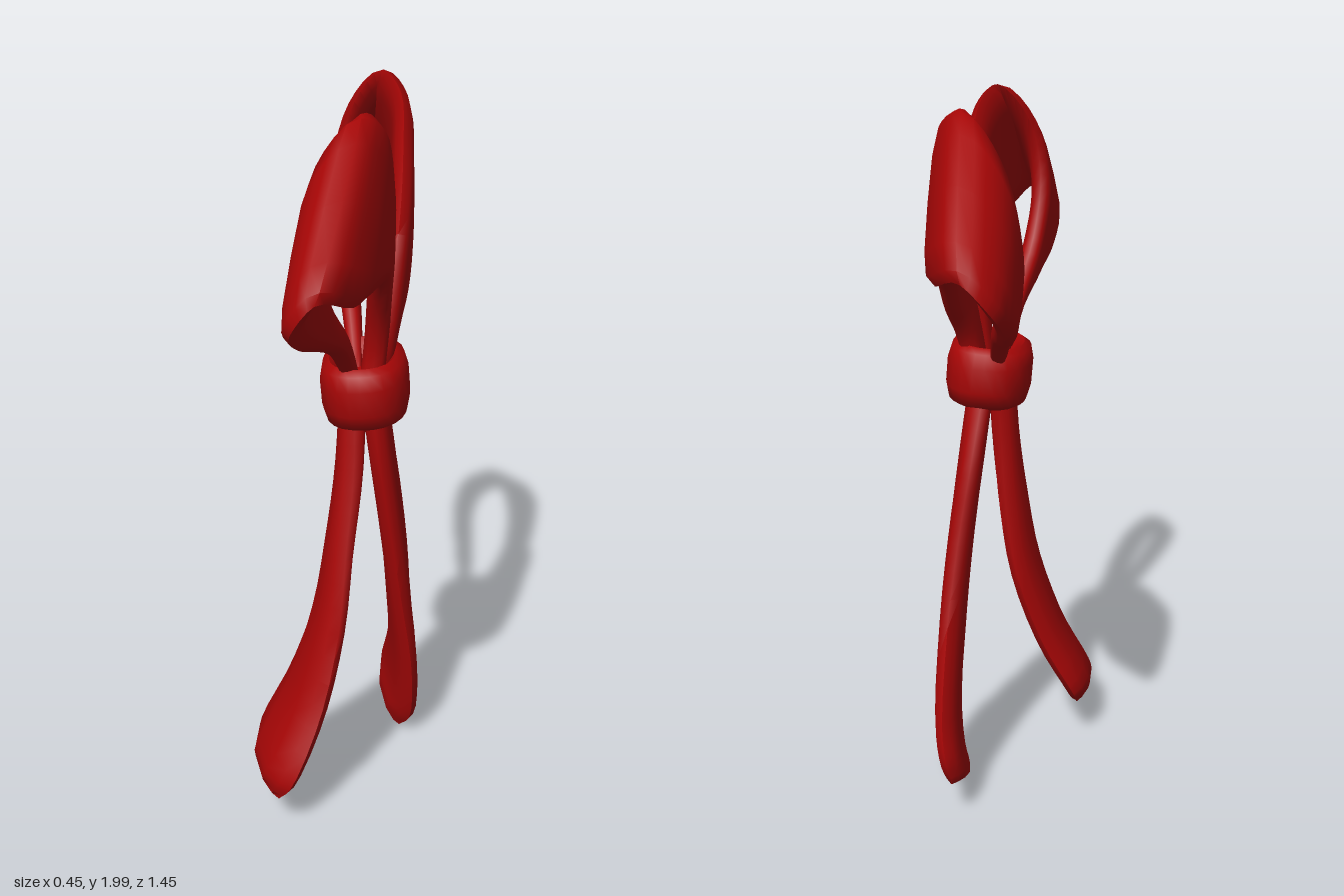
import * as THREE from 'three';
import { toCreasedNormals } from 'three/addons/utils/BufferGeometryUtils.js';

const cloth = new THREE.MeshStandardMaterial({ color: 0xa60606 });

// Ribbon lofted between two edge curves. Each station: [inner x,y,z, outer x,y,z].
// The cross-section curls from bowStart to bowEnd and thins out at the far end.
function ribbon(name, stations, halfThick, bowStart, bowEnd, steps) {
  const edge = (o) => new THREE.CatmullRomCurve3(
    stations.map((s) => new THREE.Vector3(s[o], s[o + 1], s[o + 2])), false, 'centripetal');
  const inner = edge(0), outer = edge(3);
  const middle = (t) => inner.getPoint(t).add(outer.getPoint(t)).multiplyScalar(0.5);
  const ring = 12, pos = [], index = [];
  for (let i = 0; i <= steps; i++) {
    const t = i / steps;
    const mid = middle(t);
    const half = outer.getPoint(t).sub(inner.getPoint(t)).multiplyScalar(0.5);
    const tangent = middle(Math.min(1, t + 0.01)).sub(middle(Math.max(0, t - 0.01)));
    const normal = tangent.cross(half).normalize();
    const curl = THREE.MathUtils.lerp(bowStart, bowEnd, t) * Math.min(1, half.length() / 0.16);
    const thick = halfThick * (1 - 0.5 * t ** 14);
    for (let j = 0; j < ring; j++) {
      const a = (j / ring) * Math.PI * 2;
      const u = Math.sign(Math.cos(a)) * Math.abs(Math.cos(a)) ** 0.7;
      const v = Math.sign(Math.sin(a)) * Math.abs(Math.sin(a)) ** 0.7;
      const p = mid.clone().addScaledVector(half, u)
        .addScaledVector(normal, v * thick + curl * (1 - u * u));
      pos.push(p.x, p.y, p.z);
    }
  }
  for (let i = 0; i < steps; i++) {
    for (let j = 0; j < ring; j++) {
      const k = (j + 1) % ring;
      const a = i * ring + j, b = i * ring + k, c = a + ring, d = b + ring;
      index.push(a, b, d, a, d, c);
    }
  }
  // End caps, as strips across the thickness
  const end = steps * ring;
  for (let j = 0; j < ring / 2; j++) {
    const a = j, b = j + 1, c = (ring - j) % ring, d = ring - j - 1;
    index.push(a, d, b, a, c, d);
    index.push(end + a, end + b, end + d, end + a, end + d, end + c);
  }
  const geo = new THREE.BufferGeometry();
  geo.setAttribute('position', new THREE.Float32BufferAttribute(pos, 3));
  geo.setIndex(index);
  const mesh = new THREE.Mesh(toCreasedNormals(geo, 1.1), cloth);
  mesh.name = name;
  return mesh;
}

export function createModel() {
  const group = new THREE.Group();
  group.name = 'ribbonBow';

  // Loops: up the left side, over the top, down the right side
  group.add(ribbon('backLoop', [
    [0.11, 1.2, 0.11, 0.11, 1.2, 0.0],
    [0.13, 1.33, 0.13, 0.13, 1.32, -0.02],
    [0.15, 1.5, 0.1, 0.16, 1.43, -0.1],
    [0.165, 1.67, 0.04, 0.165, 1.53, -0.2],
    [0.165, 1.83, -0.08, 0.155, 1.59, -0.37],
    [0.15, 1.95, -0.21, 0.13, 1.61, -0.57],
    [0.09, 1.99, -0.31, 0.05, 1.65, -0.72],
    [0.01, 1.89, -0.38, -0.02, 1.57, -0.7],
    [-0.035, 1.73, -0.39, -0.035, 1.49, -0.57],
    [-0.025, 1.55, -0.28, -0.015, 1.42, -0.4],
    [0.015, 1.41, -0.11, 0.02, 1.36, -0.2],
    [0.05, 1.24, 0.06, 0.05, 1.25, -0.01],
  ], 0.033, 0.003, 0.003, 44));
  group.add(ribbon('frontLoop', [
    [0.095, 1.2, 0.08, 0.095, 1.2, 0.17],
    [0.11, 1.33, 0.07, 0.11, 1.33, 0.16],
    [0.12, 1.5, 0.06, 0.12, 1.46, 0.2],
    [0.13, 1.67, 0.08, 0.13, 1.56, 0.28],
    [0.135, 1.83, 0.14, 0.115, 1.58, 0.41],
    [0.12, 1.95, 0.22, 0.085, 1.59, 0.57],
    [0.08, 1.99, 0.31, 0.01, 1.64, 0.72],
    [0.0, 1.89, 0.38, -0.05, 1.56, 0.7],
    [-0.035, 1.73, 0.4, -0.045, 1.48, 0.57],
    [-0.02, 1.55, 0.34, -0.01, 1.42, 0.41],
    [0.02, 1.4, 0.22, 0.025, 1.36, 0.28],
    [0.05, 1.24, 0.1, 0.05, 1.25, 0.18],
  ], 0.033, -0.003, -0.003, 44));

  // Hanging tails, widening toward the clipped ends
  group.add(ribbon('frontTail', [
    [0.06, 1.22, 0.1, 0.06, 1.22, 0.19],
    [0.05, 1.0, 0.1, 0.06, 1.0, 0.235],
    [0.035, 0.8, 0.09, 0.045, 0.8, 0.29],
    [0.0, 0.58, 0.08, 0.03, 0.58, 0.355],
    [-0.08, 0.35, 0.09, -0.015, 0.35, 0.42],
    [-0.17, 0.18, 0.11, -0.09, 0.16, 0.485],
    [-0.18, 0.13, 0.15, -0.13, 0.1, 0.455],
  ], 0.038, 0.03, 0.05, 20));
  group.add(ribbon('backTail', [
    [0.09, 1.22, 0.11, 0.08, 1.22, -0.02],
    [0.12, 1.0, 0.115, 0.11, 1.0, -0.11],
    [0.15, 0.8, 0.1, 0.14, 0.8, -0.16],
    [0.185, 0.55, 0.07, 0.165, 0.55, -0.23],
    [0.22, 0.28, 0.03, 0.17, 0.28, -0.33],
    [0.215, 0.07, -0.03, 0.155, 0.19, -0.36],
    [0.18, 0.0, -0.09, 0.14, 0.12, -0.345],
  ], 0.036, 0.02, -0.04, 20));

  // Rounded band tied around the middle, dished at top and bottom
  const profile = [[0, -0.03], [0.45, -0.03], [0.6, -0.07], [0.76, -0.088], [0.92, -0.075],
    [1, -0.035], [1, 0.035], [0.92, 0.075], [0.76, 0.088], [0.6, 0.07], [0.45, 0.03], [0, 0.03]];
  const band = new THREE.LatheGeometry(profile.map(([x, y]) => new THREE.Vector2(x, y)), 24);
  const p = band.attributes.position;
  for (let i = 0; i < p.count; i++) {
    // Squarish oval outline
    const x = p.getX(i), z = p.getZ(i), r = Math.hypot(x, z);
    const k = r > 0 ? r / (Math.abs(x) ** 2.4 + Math.abs(z) ** 2.4) ** (1 / 2.4) : 1;
    p.setXYZ(i, x * k * 0.12, p.getY(i), z * k * 0.163);
  }
  const knot = new THREE.Mesh(toCreasedNormals(band, 1), cloth);
  knot.name = 'knot';
  knot.position.set(0.08, 1.22, 0.09);
  knot.rotation.set(0.03, 0, 0.08);
  group.add(knot);

  return group;
}
